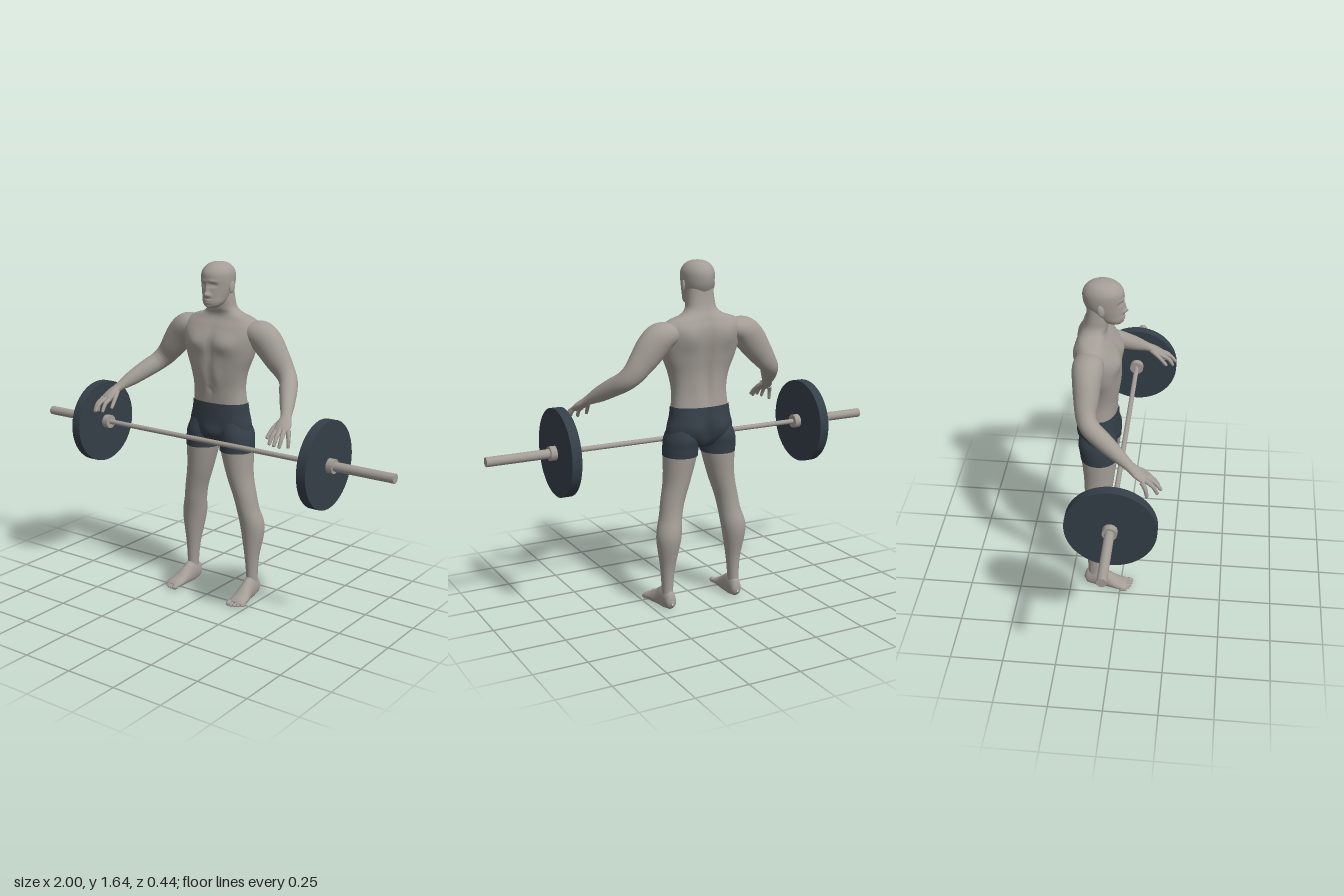
import * as THREE from 'three';

const skin = new THREE.MeshStandardMaterial({ color: 0xa39d96 });
skin.name = 'skin and steel grey';
const dark = new THREE.MeshStandardMaterial({ color: 0x353f48 });
dark.name = 'dark slate';

// Smooth skin over cross-sections [x, y, z, half width, half depth].
// level: rings stay horizontal (keys run upwards); otherwise they follow the path.
// bumps: [x, y, side (+1 front, -1 back), spread x, spread y, height], mirrored in x.
function loft(name, mat, keys, { level = false, n = 32, m = 6, power = 2, bumps = [], floor = false } = {}) {
  const path = new THREE.CatmullRomCurve3(keys.map(k => new THREE.Vector3(k[0], k[1], k[2])), false, 'catmullrom', 0.5);
  const size = new THREE.CatmullRomCurve3(keys.map(k => new THREE.Vector3(k[3], k[4], 0)), false, 'catmullrom', 0.5);
  const rows = (keys.length - 1) * m;
  const pos = [], idx = [];
  const up = new THREE.Vector3(0, 1, 0);
  const round = c => Math.sign(c) * Math.pow(Math.abs(c), 2 / power);
  for (let i = 0; i <= rows; i++) {
    const c = path.getPoint(i / rows), r = size.getPoint(i / rows);
    const u = new THREE.Vector3(1, 0, 0), v = new THREE.Vector3(0, 0, -1);
    if (!level) {
      const t = path.getTangent(i / rows);
      u.crossVectors(up, t).normalize();
      v.crossVectors(t, u);
    }
    for (let j = 0; j < n; j++) {
      const a = j / n * Math.PI * 2;
      const p = c.clone()
        .addScaledVector(u, round(Math.cos(a)) * Math.max(r.x, 0.0005))
        .addScaledVector(v, round(Math.sin(a)) * Math.max(r.y, 0.0005));
      let dz = 0;
      for (const [bx, by, side, sx, sy, h] of bumps) {
        const facing = Math.max(0, -Math.sin(a) * side);
        dz += side * h * Math.sqrt(facing) * Math.exp(-(((Math.abs(p.x) - bx) / sx) ** 2) - ((p.y - by) / sy) ** 2);
      }
      pos.push(p.x, floor ? Math.max(p.y, 0) : p.y, p.z + dz);
    }
  }
  for (let i = 0; i < rows; i++) for (let j = 0; j < n; j++) {
    const a = i * n + j, b = i * n + (j + 1) % n;
    idx.push(a, b, a + n, b, b + n, a + n);
  }
  const g = new THREE.BufferGeometry();
  g.setAttribute('position', new THREE.Float32BufferAttribute(pos, 3));
  g.setIndex(idx);
  g.computeVertexNormals();
  const mesh = new THREE.Mesh(g, mat);
  mesh.name = name;
  return mesh;
}

function ball(name, x, y, z, rx, ry, rz) {
  const mesh = new THREE.Mesh(new THREE.SphereGeometry(1, 16, 12), skin);
  mesh.position.set(x, y, z);
  mesh.scale.set(rx, ry, rz);
  mesh.name = name;
  return mesh;
}

// Cylinder lying along x between two positions
function rod(name, mat, x0, x1, r, sides) {
  const g = new THREE.CylinderGeometry(r, r, Math.abs(x1 - x0), sides);
  g.rotateZ(Math.PI / 2);
  const mesh = new THREE.Mesh(g, mat);
  mesh.position.x = (x0 + x1) / 2;
  mesh.name = name;
  return mesh;
}

function makeHead() {
  const g = new THREE.Group();
  g.name = 'head';
  g.add(loft('skullAndFace', skin, [
    [0, 1.424, -0.045, 0.006, 0.006], [0, 1.43, -0.043, 0.03, 0.031], [0, 1.45, -0.057, 0.05, 0.055],
    [0, 1.48, -0.077, 0.061, 0.075], [0, 1.52, -0.09, 0.071, 0.087], [0, 1.56, -0.0925, 0.075, 0.0925],
    [0, 1.59, -0.0925, 0.072, 0.088], [0, 1.615, -0.094, 0.057, 0.068], [0, 1.63, -0.094, 0.033, 0.04],
    [0, 1.636, -0.094, 0.001, 0.001]], {
    level: true, n: 96, m: 9, bumps: [
      [0, 1.49, 1, 0.012, 0.012, 0.019], [0, 1.515, 1, 0.009, 0.018, 0.011], // nose
      [0.014, 1.488, 1, 0.007, 0.007, 0.005],
      [0.028, 1.535, 1, 0.014, 0.009, -0.011], [0.028, 1.534, 1, 0.008, 0.004, 0.004], // eyes
      [0.025, 1.552, 1, 0.02, 0.007, 0.004], // brow
      [0, 1.463, 1, 0.018, 0.005, 0.006], [0, 1.452, 1, 0.016, 0.005, 0.006], // lips
      [0, 1.434, 1, 0.016, 0.008, 0.005]] }));
  for (const s of [1, -1]) {
    const ear = ball('ear', s * 0.075, 1.52, -0.095, 0.008, 0.028, 0.016);
    ear.rotation.set(-0.2, s * -0.3, 0);
    g.add(ear);
  }
  return g;
}

function makeTorso() {
  return loft('torso', skin, [
    [0, 0.95, -0.115, 0.142, 0.083], [0, 1.04, -0.107, 0.136, 0.08], [0, 1.12, -0.103, 0.15, 0.085],
    [0, 1.2, -0.108, 0.18, 0.093], [0, 1.28, -0.118, 0.2, 0.097], [0, 1.335, -0.132, 0.208, 0.083],
    [0, 1.372, -0.138, 0.17, 0.065], [0, 1.395, -0.135, 0.105, 0.058], [0, 1.42, -0.125, 0.075, 0.056],
    [0, 1.46, -0.117, 0.067, 0.054], [0, 1.53, -0.112, 0.06, 0.052]], {
    level: true, n: 80, m: 7, power: 2.3, bumps: [
      [0.085, 1.255, 1, 0.06, 0.04, 0.016], // chest
      [0, 1.24, 1, 0.012, 0.09, -0.007], [0, 1.08, 1, 0.01, 0.07, -0.004],
      [0.04, 1.1, 1, 0.025, 0.06, 0.005], [0, 1.035, 1, 0.007, 0.008, -0.008], // abdomen, navel
      [0, 1.15, -1, 0.022, 0.2, -0.016], // spine
      [0.1, 1.3, -1, 0.05, 0.06, 0.012], [0.05, 1.05, -1, 0.03, 0.09, 0.006]] });
}

function makeShorts() {
  const g = new THREE.Group();
  g.name = 'shorts';
  g.add(loft('shortsSeat', dark, [
    [0, 0.765, -0.11, 0.02, 0.03], [0, 0.785, -0.11, 0.11, 0.065], [0, 0.82, -0.112, 0.162, 0.085],
    [0, 0.87, -0.115, 0.165, 0.09], [0, 0.92, -0.115, 0.152, 0.09], [0, 0.972, -0.114, 0.145, 0.087]], {
    level: true, n: 72, m: 7, power: 2.2, bumps: [
      [0.07, 0.87, -1, 0.055, 0.055, 0.018], [0, 0.85, -1, 0.016, 0.07, -0.016],
      [0, 0.83, 1, 0.04, 0.04, 0.012]] }));
  for (const s of [1, -1]) g.add(loft('shortsLeg', dark, [
    [s * 0.1, 0.738, -0.11, 0.083, 0.087], [s * 0.099, 0.78, -0.112, 0.083, 0.09],
    [s * 0.094, 0.83, -0.115, 0.08, 0.092], [s * 0.08, 0.9, -0.113, 0.06, 0.07]], { level: true }));
  return g;
}

function makeLeg(s) {
  const g = new THREE.Group();
  g.name = s > 0 ? 'leftLeg' : 'rightLeg';
  g.add(loft('legSkin', skin, [
    [0.18, 0.03, -0.135, 0.028, 0.036], [0.18, 0.09, -0.131, 0.026, 0.032], [0.178, 0.2, -0.131, 0.035, 0.038],
    [0.175, 0.35, -0.139, 0.059, 0.06], [0.157, 0.45, -0.123, 0.054, 0.06], [0.143, 0.52, -0.115, 0.056, 0.062],
    [0.118, 0.62, -0.11, 0.064, 0.071], [0.1, 0.745, -0.11, 0.08, 0.084], [0.098, 0.8, -0.11, 0.078, 0.082]]
    .map(k => [s * k[0], ...k.slice(1)]), { level: true, n: 40 }));
  g.add(loft('foot', skin, [
    [0.178, 0.03, -0.183, 0.004, 0.006], [0.178, 0.033, -0.168, 0.025, 0.034], [0.18, 0.045, -0.125, 0.03, 0.06],
    [0.183, 0.035, -0.075, 0.034, 0.047], [0.19, 0.022, -0.025, 0.041, 0.028], [0.194, 0.016, 0.015, 0.043, 0.018],
    [0.195, 0.013, 0.034, 0.036, 0.009], [0.195, 0.013, 0.036, 0.001, 0.001]]
    .map(k => [s * k[0], ...k.slice(1)]), { floor: true }));
  for (let i = 0; i < 5; i++) {
    const big = i === 0 ? 0.013 : 0.009;
    g.add(ball('toe', s * (0.164 + i * 0.0165), big, 0.042 - i * i * 0.0016, big, big, 0.021));
  }
  return g;
}

function makeArm(s) {
  const g = new THREE.Group();
  g.name = s > 0 ? 'leftArm' : 'rightArm';
  const side = keys => keys.map(k => [s * k[0], ...k.slice(1)]);
  g.add(loft('armSkin', skin, side([
    [0.1, 1.325, -0.14, 0.04, 0.035], [0.17, 1.315, -0.14, 0.066, 0.055], [0.215, 1.3, -0.14, 0.07, 0.07],
    [0.255, 1.262, -0.14, 0.064, 0.073], [0.3, 1.205, -0.138, 0.056, 0.064], [0.345, 1.15, -0.135, 0.046, 0.052],
    [0.38, 1.113, -0.112, 0.043, 0.046], [0.413, 1.08, -0.06, 0.041, 0.043], [0.45, 1.04, 0.005, 0.034, 0.036],
    [0.485, 1, 0.07, 0.025, 0.021], [0.498, 0.977, 0.105, 0.034, 0.019], [0.506, 0.955, 0.138, 0.035, 0.014],
    [0.508, 0.948, 0.147, 0.024, 0.004]]), { n: 32 }));
  // Fingers and thumb: knuckle, joint, tip
  const fingers = [
    [[0.534, 0.955, 0.128], [0.547, 0.925, 0.145], [0.55, 0.888, 0.152]],
    [[0.518, 0.957, 0.136], [0.531, 0.932, 0.176], [0.532, 0.896, 0.196]],
    [[0.5, 0.957, 0.138], [0.51, 0.937, 0.182], [0.513, 0.904, 0.21]],
    [[0.483, 0.957, 0.135], [0.483, 0.935, 0.175], [0.481, 0.903, 0.198]],
    [[0.476, 0.985, 0.09], [0.458, 0.957, 0.13], [0.45, 0.92, 0.166]]];
  fingers.forEach(([a, b, c], i) => {
    const end = c.map((v, k) => v + (v - b[k]) * 0.12);
    g.add(loft(i < 4 ? 'finger' : 'thumb', skin,
      side([[...a, 0.012, 0.012], [...b, 0.0095, 0.0095], [...c, 0.0075, 0.0075], [...end, 0.001, 0.001]]), { n: 12 }));
  });
  return g;
}

function makeBarbell() {
  const g = new THREE.Group();
  g.name = 'barbell';
  g.position.set(0, 0.792, 0.005);
  g.add(rod('barGrip', skin, -0.62, 0.62, 0.012, 20));
  for (const s of [1, -1]) {
    g.add(rod('innerCollar', skin, s * 0.597, s * 0.628, 0.034, 12));
    g.add(rod('weightPlate', dark, s * 0.628, s * 0.674, 0.204, 64));
    g.add(rod('outerCollar', skin, s * 0.674, s * 0.704, 0.034, 12));
    g.add(rod('barSleeve', skin, s * 0.62, s, 0.022, 20));
  }
  return g;
}

export function createModel() {
  const model = new THREE.Group();
  model.name = 'weightlifter';
  model.add(makeHead(), makeTorso(), makeShorts(), makeBarbell());
  for (const s of [1, -1]) model.add(makeLeg(s), makeArm(s));
  return model;
}
